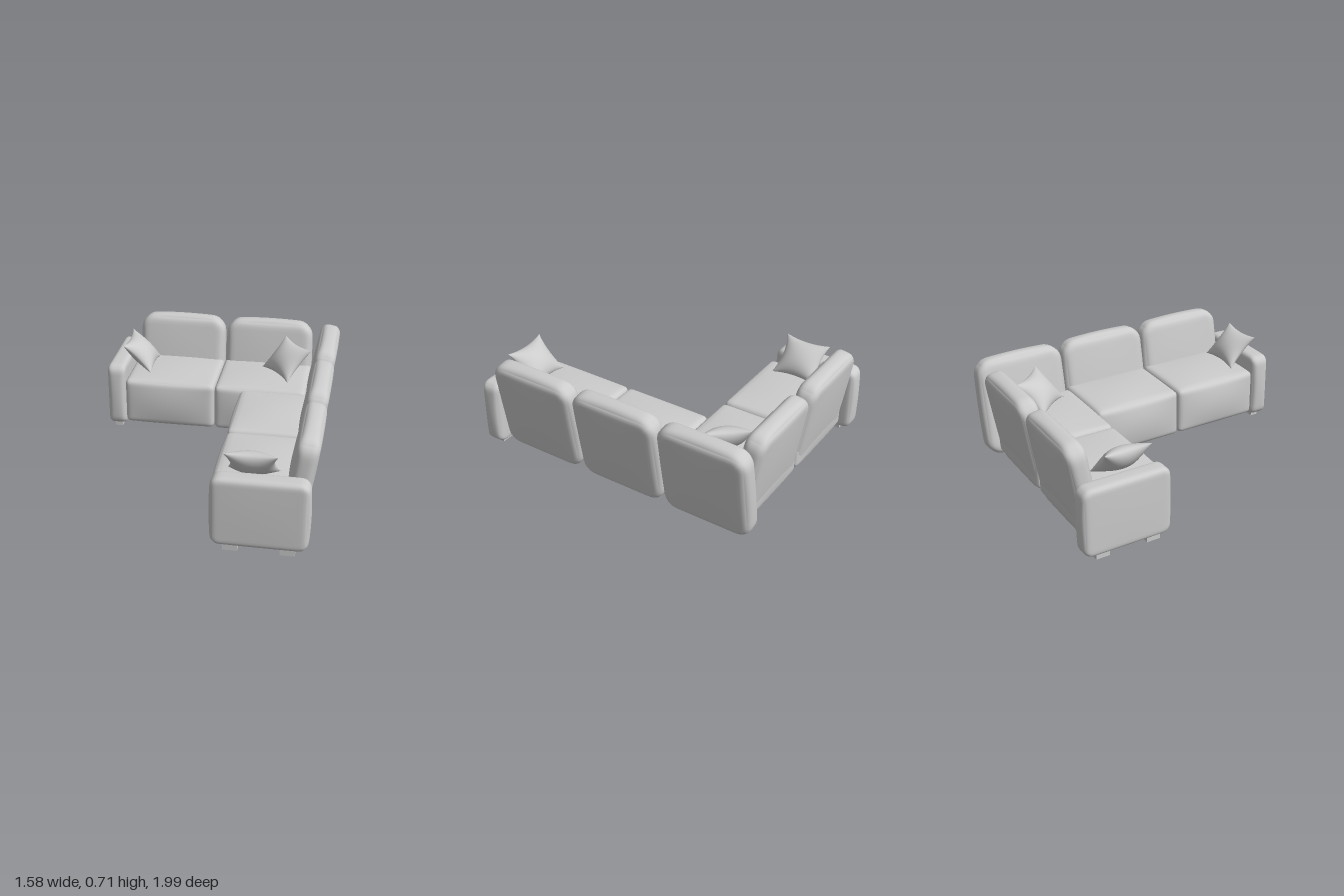
import * as THREE from 'three';
import { mergeGeometries, mergeVertices } from 'three/addons/utils/BufferGeometryUtils.js';

const material = new THREE.MeshStandardMaterial({ color: 0xcccccc, roughness: 0.9 });
const clamp = THREE.MathUtils.clamp;

function smooth(geometry) {
  geometry.deleteAttribute('normal');
  geometry.deleteAttribute('uv');
  const merged = mergeVertices(geometry, 1e-5);
  merged.computeVertexNormals();
  return merged;
}

// Upholstered block: outline in XY has corner radius R, edges along Z have radius r,
// and each pair of faces swells by its bulge amount.
function cushion(w, h, d, R, r, bulge) {
  const g = new THREE.BoxGeometry(2, 2, 2, 24, 24, 14);
  const pos = g.attributes.position;
  const spread = (t) => Math.sin(t * Math.PI / 2);
  const a = w / 2, b = h / 2, c = d / 2;
  for (let i = 0; i < pos.count; i++) {
    const u = spread(pos.getX(i)), v = spread(pos.getY(i)), t = spread(pos.getZ(i));
    let x = u * a, y = v * b, z = t * c;
    // round the rim between outline and faces
    const depth = Math.min(a - Math.abs(x), b - Math.abs(y));
    const m = Math.max(0, r - depth), n = Math.max(0, Math.abs(z) - (c - r));
    let inset = 0;
    if (m > 0 && n > 0) {
      const k = Math.max(m, n) / Math.hypot(m, n);
      inset = m - m * k;
      z = Math.sign(z) * (c - r + n * k);
    }
    // round the corners of the outline
    const ix = clamp(x, -(a - R), a - R), iy = clamp(y, -(b - R), b - R);
    const dx = x - ix, dy = y - iy;
    if (dx && dy) {
      const len = Math.max(Math.abs(dx), Math.abs(dy)), k = (len - inset) / Math.hypot(dx, dy);
      x = ix + dx * k;
      y = iy + dy * k;
    } else if (a - Math.abs(x) < b - Math.abs(y)) x -= Math.sign(x) * inset;
    else y -= Math.sign(y) * inset;
    // swell
    const U = 1 - u * u, V = 1 - v * v, T = 1 - t * t;
    pos.setXYZ(i, x + bulge[0] * u * V * T, y + bulge[1] * v * U * T, z + bulge[2] * t * U * V);
  }
  return smooth(g);
}

// Throw pillow with pinched edges and pointed corners
function pillowGeometry(w, h, thickness) {
  const front = new THREE.PlaneGeometry(2, 2, 24, 24);
  const pos = front.attributes.position;
  for (let i = 0; i < pos.count; i++) {
    const u = Math.sin(pos.getX(i) * Math.PI / 2), v = Math.sin(pos.getY(i) * Math.PI / 2);
    const x = u * w / 2 * (1 - 0.17 * (1 - v * v));
    const y = v * h / 2 * (1 - 0.14 * (1 - u * u));
    const z = thickness / 2 * Math.pow(Math.max(0, (1 - u * u) * (1 - v * v)), 0.55);
    pos.setXYZ(i, x, y, z);
  }
  return smooth(mergeGeometries([front, front.clone().rotateX(Math.PI)]));
}

export function createModel() {
  const sofa = new THREE.Group();
  sofa.name = 'cornerSofa';

  function add(name, geometry, x, y, z, rotY = 0, rotX = 0) {
    const mesh = new THREE.Mesh(geometry, material);
    mesh.name = name;
    mesh.position.set(x, y, z);
    mesh.rotation.set(rotX, rotY, 0, 'YXZ');
    sofa.add(mesh);
  }

  // Tall backs, leaning outwards
  const back = cushion(0.6, 0.645, 0.135, 0.095, 0.045, [0.01, 0.015, 0.012]);
  const lean = -0.165;
  for (const x of [-0.338, 0.287]) add('rearBack', back, x, 0.372, -0.88, 0, lean);
  for (const z of [-0.685, -0.067, 0.551]) add('sideBack', back, 0.672, 0.372, z, -Math.PI / 2, lean);

  // Seats of the rear run
  const rearSeat = cushion(0.625, 0.325, 0.54, 0.035, 0.035, [0, 0.018, 0.02]);
  for (const x of [-0.343, 0.285]) add('rearSeat', rearSeat, x, 0.242, -0.64);

  // Seats of the side run
  const sideSeat = cushion(0.61, 0.325, 0.49, 0.035, 0.035, [0, 0.018, 0.025]);
  for (const z of [-0.07, 0.542]) add('sideSeat', sideSeat, 0.402, 0.242, z, -Math.PI / 2);

  // Arms at both ends
  const arm = cushion(0.575, 0.45, 0.125, 0.055, 0.032, [0.012, 0.003, 0.004]);
  add('rightArm', arm, -0.725, 0.265, -0.685, Math.PI / 2);
  add('frontArm', arm, 0.46, 0.265, 0.925);

  // Block feet under the arms
  const foot = new THREE.BoxGeometry(0.09, 0.06, 0.052);
  for (const s of [-0.17, 0.17]) {
    add('rightArmFoot', foot, -0.73, 0.03, -0.675 + s, Math.PI / 2);
    add('frontArmFoot', foot, 0.46 + s, 0.03, 0.937);
  }

  // Throw pillows, propped against the arms and the corner
  const pillow = pillowGeometry(0.315, 0.275, 0.13);
  add('armPillow', pillow, -0.585, 0.522, -0.623, Math.PI / 2, -Math.PI / 4);
  add('cornerPillow', pillow, 0.437, 0.522, -0.66, -0.87, -Math.PI / 4);
  add('frontPillow', pillow, 0.397, 0.522, 0.815, Math.PI, -Math.PI / 4);

  return sofa;
}
